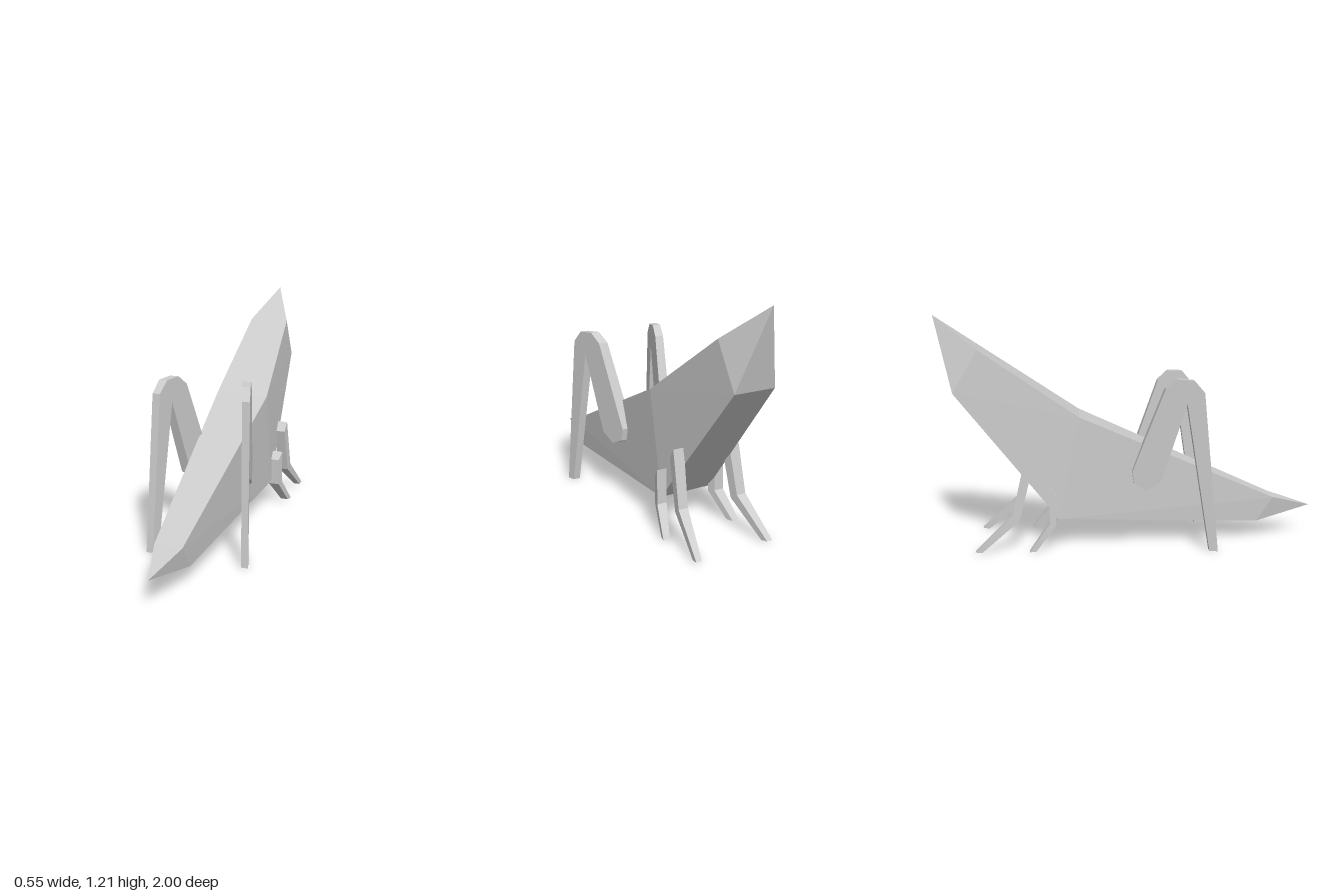
import * as THREE from 'three';

const material = new THREE.MeshStandardMaterial({ color: 0xcccccc, flatShading: true });

// Body: four-cornered cross-sections between two pointed ends, front to back
function createBody() {
  const nose = [0, 0.16, 1], tail = [0, 1.205, -1];
  // half width, top y, top z, bottom y, bottom z
  const rings = [
    [0.07, 0.225, 0.78, 0.095, 0.69],
    [0.145, 0.69, -0.26, 0.155, -0.37],
    [0.11, 1.035, -0.77, 0.815, -0.9],
  ].map(([w, ty, tz, by, bz]) => [[w, ty, tz], [-w, ty, tz], [-w, by, bz], [w, by, bz]]);
  const points = [];
  const tri = (...corners) => corners.forEach((c) => points.push(...c));
  for (let k = 0; k < 4; k++) {
    const n = (k + 1) % 4;
    tri(nose, rings[0][k], rings[0][n]);
    for (let i = 0; i < rings.length - 1; i++) {
      const a = rings[i], b = rings[i + 1];
      // the diagonal alternates so both flanks mirror each other
      if (k === 3) {
        tri(a[k], b[k], a[n]);
        tri(b[k], b[n], a[n]);
      } else {
        tri(a[k], b[k], b[n]);
        tri(a[k], b[n], a[n]);
      }
    }
    tri(rings[2][k], tail, rings[2][n]);
  }
  const geometry = new THREE.BufferGeometry();
  geometry.setAttribute('position', new THREE.Float32BufferAttribute(points, 3));
  geometry.computeVertexNormals();
  const body = new THREE.Mesh(geometry, material);
  body.name = 'body';
  return body;
}

// Leg: a plate cut from a side outline of [z, y] points, splayed so that its
// inner and outer faces lie at x = base + slope * z
function createLeg(name, outline, inner, outer, side) {
  const shape = new THREE.Shape(outline.map(([z, y]) => new THREE.Vector2(z, y)));
  const geometry = new THREE.ExtrudeGeometry(shape, { depth: 1, bevelEnabled: false });
  const pos = geometry.attributes.position;
  for (let i = 0; i < pos.count; i++) {
    const z = pos.getX(i), y = pos.getY(i);
    const isOuter = (pos.getZ(i) > 0.5) === (side < 0);
    const [base, slope] = isOuter ? outer : inner;
    pos.setXYZ(i, side * (base + slope * z), y, z);
  }
  geometry.computeVertexNormals();
  const leg = new THREE.Mesh(geometry, material);
  leg.name = (side > 0 ? 'left' : 'right') + name;
  return leg;
}

const legs = [
  {
    // tall bent jumping leg
    name: 'JumpingLeg',
    outline: [[0.444, 0], [0.367, 0.825], [0.316, 0.885], [0.235, 0.89], [0.176, 0.84], [0.01, 0.4],
      [0.02, 0.335], [0.085, 0.305], [0.155, 0.355], [0.283, 0.765], [0.402, 0]],
    inner: [0.09, 0.335],
    outer: [0.15, 0.28],
  },
  {
    // short leg under the deepest part of the body
    name: 'ShortLeg',
    outline: [[-0.38, 0.285], [-0.417, 0.325], [-0.42, 0.145], [-0.524, 0.005], [-0.49, 0.005], [-0.385, 0.135]],
    inner: [-0.036, -0.43],
    outer: [0.085, -0.27],
  },
  {
    // longer walking leg nearest the raised end
    name: 'WalkingLeg',
    outline: [[-0.508, 0.42], [-0.545, 0.47], [-0.61, 0.19], [-0.8, 0.01], [-0.765, 0.005], [-0.572, 0.165]],
    inner: [-0.002, -0.24],
    outer: [0.117, -0.13],
  },
];

export function createModel() {
  const model = new THREE.Group();
  model.name = 'grasshopper';
  model.add(createBody());
  for (const { name, outline, inner, outer } of legs) {
    for (const side of [1, -1]) model.add(createLeg(name, outline, inner, outer, side));
  }
  return model;
}
